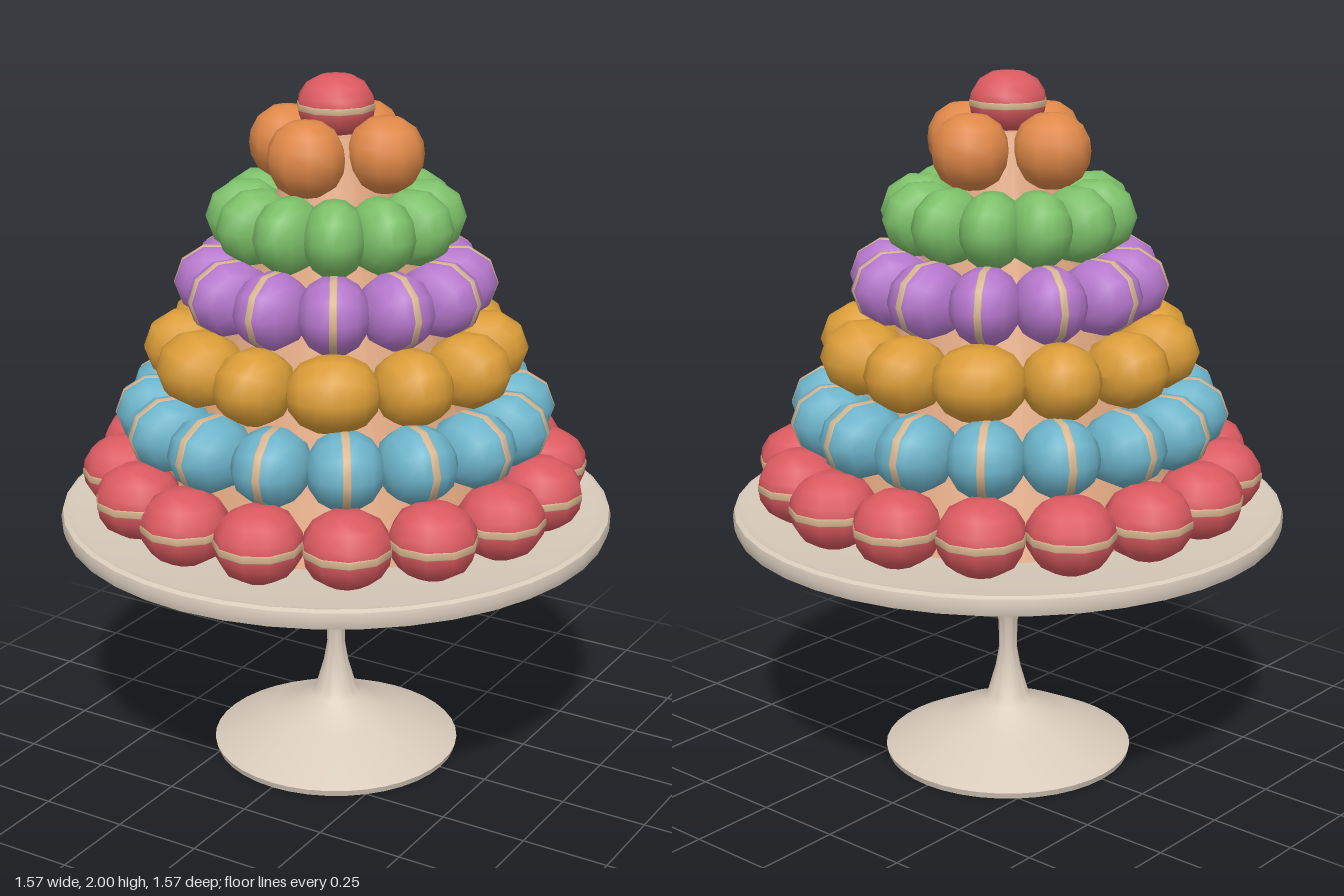
import * as THREE from 'three';
import { toCreasedNormals } from 'three/addons/utils/BufferGeometryUtils.js';

const mat = (name, color) => {
  const m = new THREE.MeshStandardMaterial({ color });
  m.name = name;
  return m;
};
const lathe = (pts, segments) =>
  new THREE.LatheGeometry(pts.map(([x, y]) => new THREE.Vector2(x, y)), segments);

export function createModel() {
  const model = new THREE.Group();
  model.name = 'macaronTower';

  const ceramic = mat('ceramic', 0xd8cbbb);
  const filling = mat('filling', 0xd6b48e);
  const core = mat('core', 0xdda680);
  const red = mat('red', 0xdb5a60);
  const blue = mat('blue', 0x6db4ca);
  const yellow = mat('yellow', 0xdb9d38);
  const purple = mat('purple', 0xb577cc);
  const green = mat('green', 0x7cc069);
  const orange = mat('orange', 0xdf8848);

  const add = (parent, name, geometry, material) => {
    const mesh = new THREE.Mesh(geometry, material);
    mesh.name = name;
    parent.add(mesh);
    return mesh;
  };

  // Pedestal stand: foot, turned stem and plate in one profile
  const standProfile = [
    [0, 0], [0.355, 0], [0.36, 0.018], [0.2, 0.1], [0.075, 0.155], [0.06, 0.175],
    [0.036, 0.26], [0.026, 0.32], [0.028, 0.4], [0.04, 0.45], [0.058, 0.49],
    [0.054, 0.503], [0.03, 0.525], [0.034, 0.56], [0.05, 0.61], [0.1, 0.665],
    [0.145, 0.7], [0.73, 0.71], [0.78, 0.72], [0.787, 0.745], [0.782, 0.766],
    [0.77, 0.772], [0.745, 0.765], [0, 0.765],
  ];
  add(model, 'cakeStand', toCreasedNormals(lathe(standProfile, 40), 0.7), ceramic);

  // Cone that the macarons lean on
  const cone = add(model, 'towerCore', new THREE.CylinderGeometry(0.1, 0.51, 1.08, 24), core);
  cone.position.y = 1.305;

  // Unit macaron: rounded body and a thin filling seam, lying flat or on edge
  const body = lathe([
    [0, -1], [0.42, -0.95], [0.77, -0.7], [0.96, -0.33], [1, 0],
    [0.96, 0.33], [0.77, 0.7], [0.42, 0.95], [0, 1],
  ], 10);
  const seam = lathe([[0.985, -0.11], [1.008, -0.08], [1.008, 0.08], [0.985, 0.11]], 10);
  const flat = { body, seam };
  const upright = {
    body: body.clone().rotateZ(Math.PI / 2),
    seam: seam.clone().rotateZ(Math.PI / 2),
  };

  // size = half extents: tangential, vertical, radial
  const tiers = [
    { name: 'red', color: red, shape: flat, count: 16, radius: 0.6, y: 0.868, size: [0.121, 0.102, 0.121], seam: true, turn: 0.5 },
    { name: 'blue', color: blue, shape: upright, count: 16, radius: 0.5, y: 1.048, size: [0.102, 0.106, 0.122], seam: true, turn: 0.5 },
    { name: 'yellow', color: yellow, shape: upright, count: 12, radius: 0.42, y: 1.232, size: [0.102, 0.105, 0.12], wide: 0.124 },
    { name: 'purple', color: purple, shape: upright, count: 12, radius: 0.33, y: 1.42, size: [0.094, 0.106, 0.12], seam: true },
    { name: 'green', color: green, shape: upright, count: 12, radius: 0.245, y: 1.607, size: [0.083, 0.106, 0.115] },
    { name: 'orange', color: orange, shape: flat, count: 4, radius: 0.155, y: 1.797, size: [0.107, 0.103, 0.107] },
    { name: 'top', color: red, shape: flat, count: 1, radius: 0, y: 1.915, size: [0.108, 0.085, 0.108], seam: true },
  ];

  for (const t of tiers) {
    const tier = new THREE.Group();
    tier.name = `${t.name}Tier`;
    tier.position.y = t.y;
    model.add(tier);
    for (let i = 0; i < t.count; i++) {
      const angle = ((i + (t.turn ?? 0)) / t.count) * Math.PI * 2;
      const macaron = new THREE.Group();
      macaron.name = `${t.name}Macaron`;
      macaron.position.set(Math.sin(angle) * t.radius, 0, Math.cos(angle) * t.radius);
      macaron.rotation.y = angle;
      macaron.scale.set(...t.size);
      // Broader pieces beside the front and back ones
      if (t.wide && (i % 6 === 1 || i % 6 === 5)) macaron.scale.x = t.wide;
      add(macaron, 'shell', t.shape.body, t.color);
      if (t.seam) add(macaron, 'fillingSeam', t.shape.seam, filling);
      tier.add(macaron);
    }
  }
  return model;
}
